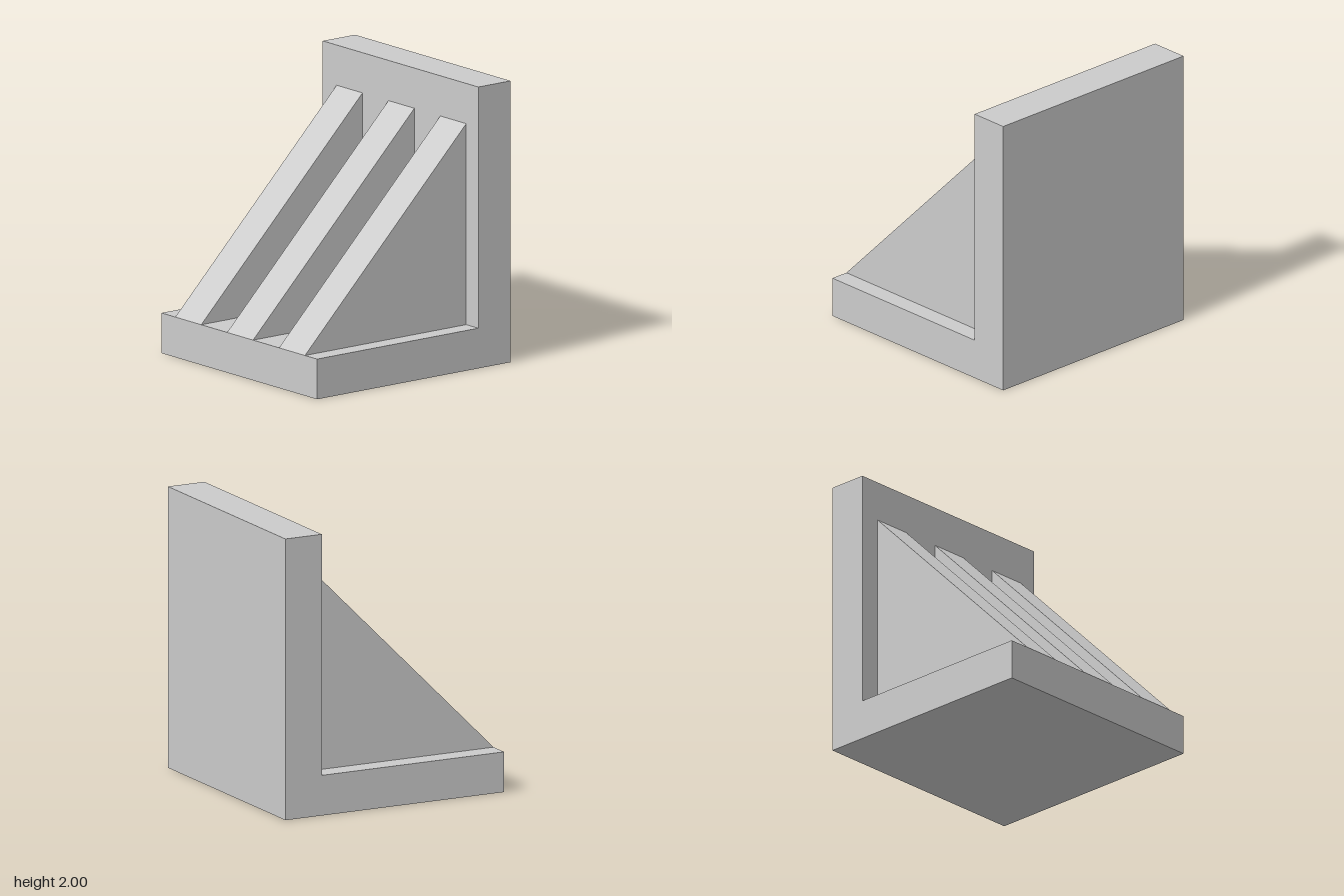
import * as THREE from 'three';

const U = 2 / 7;          // plate thickness and rib width
const SIDE = 6 * U;       // width and depth of the bracket
const HALF = SIDE / 2;

export function createModel() {
  const group = new THREE.Group();
  const material = new THREE.MeshStandardMaterial({ color: 0xcccccc });

  const add = (name, geometry, x, y, z) => {
    const mesh = new THREE.Mesh(geometry, material);
    mesh.name = name;
    mesh.position.set(x, y, z);
    group.add(mesh);
  };

  // Base plate, with the back wall standing on its rear edge
  add('basePlate', new THREE.BoxGeometry(SIDE, U, SIDE), 0, U / 2, 0);
  add('backWall', new THREE.BoxGeometry(SIDE, 2 - U, U), 0, 1 + U / 2, -HALF + U / 2);

  // Triangular rib: profile drawn in (z, y), extruded across x
  const profile = new THREE.Shape([
    new THREE.Vector2(-HALF + U, U),
    new THREE.Vector2(HALF, U),
    new THREE.Vector2(-HALF + U, 2 - U),
  ]);
  const rib = new THREE.ExtrudeGeometry(profile, { depth: U, bevelEnabled: false });
  rib.translate(0, 0, -U / 2).rotateY(-Math.PI / 2);

  // Three evenly spaced ribs, set slightly off centre
  ['rightRib', 'middleRib', 'leftRib'].forEach((name, i) => {
    add(name, rib, (i - 1) * 2 * U + 0.01, 0, 0);
  });

  return group;
}
